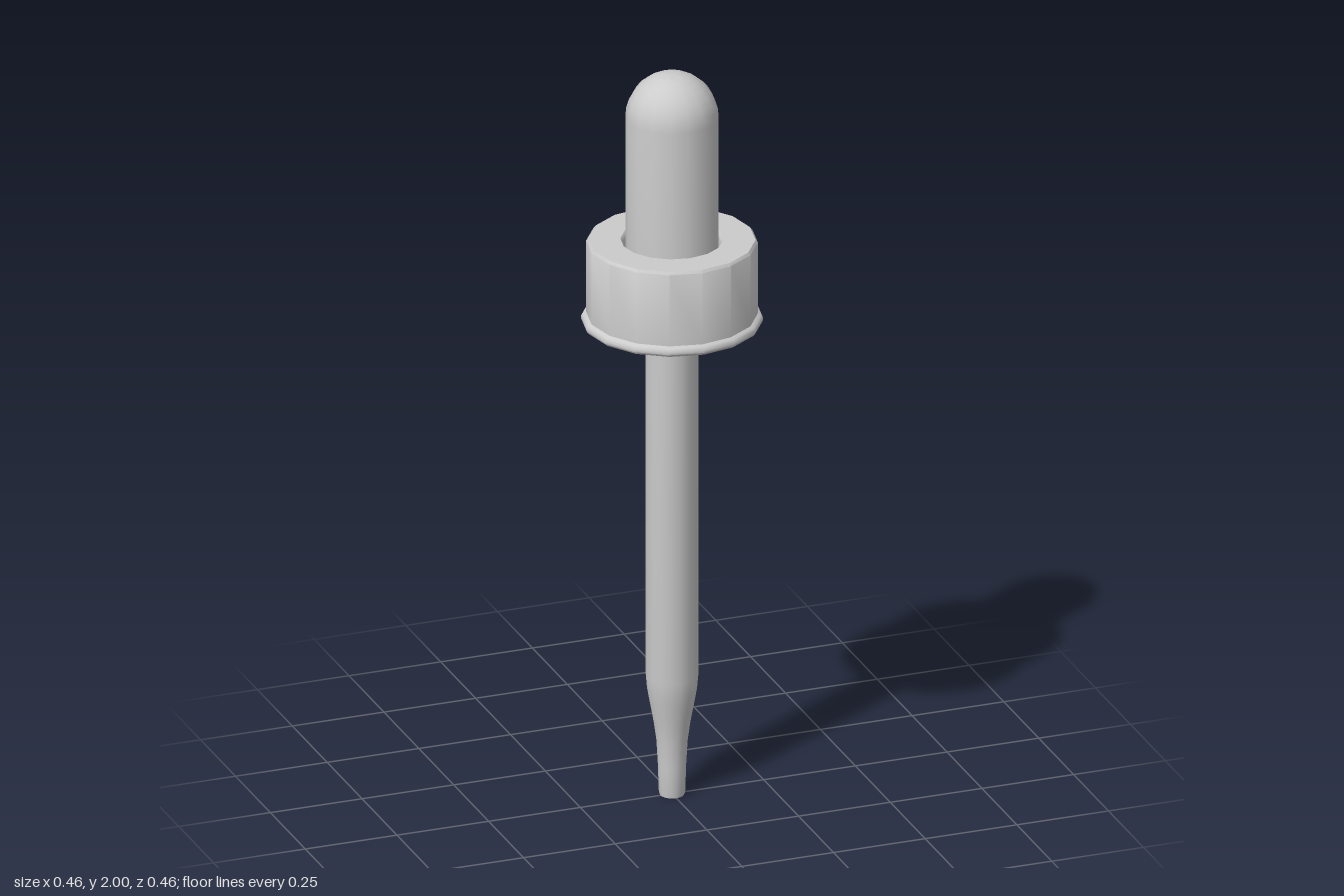
import * as THREE from 'three';
import { toCreasedNormals } from 'three/addons/utils/BufferGeometryUtils.js';

const SIDES = 16;
const material = new THREE.MeshStandardMaterial({ color: 0xcccccc, side: THREE.DoubleSide });

// Turns a [radius, height] profile; outer walls run upwards, inner walls downwards.
function turned(name, profile) {
  const points = profile.map(([r, y]) => new THREE.Vector2(r, y));
  const geometry = toCreasedNormals(new THREE.LatheGeometry(points, SIDES), 0.7);
  const mesh = new THREE.Mesh(geometry, material);
  mesh.name = name;
  return mesh;
}

export function createModel() {
  const model = new THREE.Group();
  model.name = 'dropper';

  // Hollow glass tube narrowing to an open tip
  model.add(turned('glassPipette', [
    [0.024, 0.006], [0.027, 0], [0.032, 0], [0.034, 0.01], [0.036, 0.08], [0.04, 0.15], [0.047, 0.2],
    [0.058, 0.26], [0.064, 0.295], [0.067, 0.33], [0.067, 1.56],
    [0.054, 1.56], [0.054, 0.33], [0.046, 0.26], [0.03, 0.15], [0.024, 0.006],
  ]));

  // Rubber bulb: domed top, closing onto the tube underneath
  const R = 0.119;
  const dome = [];
  for (let i = 0; i <= 8; i++) {
    const a = (i / 8) * Math.PI / 2;
    dome.push([R * Math.cos(a), 2 - R + R * Math.sin(a)]);
  }
  model.add(turned('rubberBulb', [[0.067, 1.48], [0.11, 1.48], [R, 1.49], ...dome]));

  // Hollow screw cap with a beaded lower rim and a clearance hole in the top
  model.add(turned('screwCap', [
    [0.18, 1.318], [0.186, 1.31], [0.226, 1.31], [0.232, 1.317], [0.232, 1.325],
    [0.228, 1.332], [0.219, 1.336], [0.219, 1.533], [0.213, 1.54],
    [0.132, 1.54], [0.126, 1.533], [0.126, 1.5], [0.18, 1.5], [0.18, 1.318],
  ]));

  return model;
}
